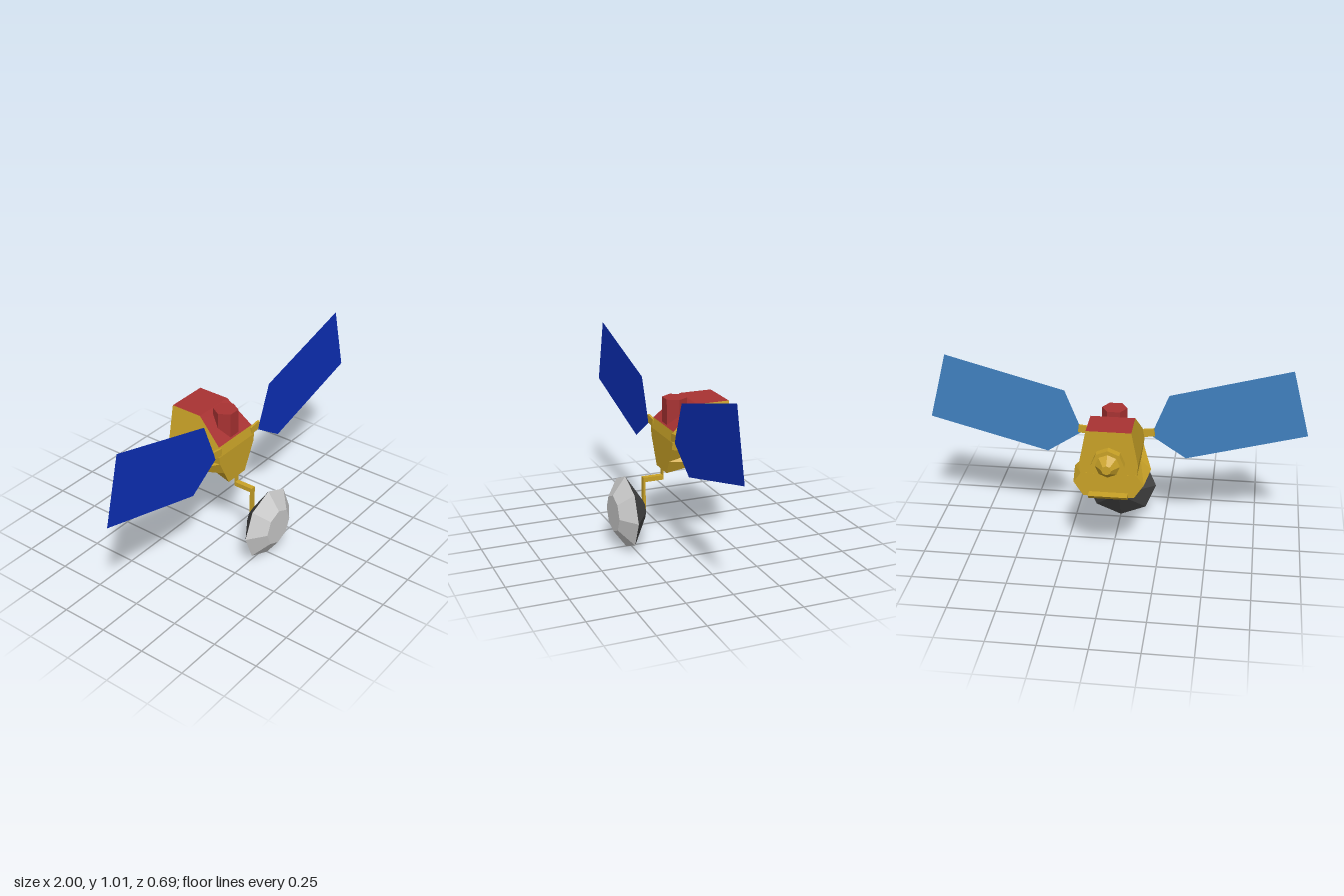
import * as THREE from 'three';

const mat = (color) => new THREE.MeshStandardMaterial({ color, flatShading: true });

export function createModel() {
  const group = new THREE.Group();
  const gold = mat(0xc9a227), red = mat(0xa83232), grey = mat(0xcccccc);
  const dark = mat(0x444444), blue = mat(0x0c2fb8), paleBlue = mat(0x4080bf);

  const add = (name, geometry, material, x = 0, y = 0, z = 0) => {
    const mesh = new THREE.Mesh(geometry, material);
    mesh.name = name;
    mesh.position.set(x, y, z);
    group.add(mesh);
    return mesh;
  };
  const box = (name, w, h, d, x, y, z) => add(name, new THREE.BoxGeometry(w, h, d), gold, x, y, z);
  // Frustum along z: front radius, back radius, front z, back z
  const frustum = (name, rf, rb, zf, zb, y, material) =>
    add(name, new THREE.CylinderGeometry(rf, rb, zf - zb, 8).rotateX(Math.PI / 2), material, 0, y, (zf + zb) / 2);

  const fromQuads = (quads) => {
    const p = [];
    for (const [a, b, c, d] of quads) p.push(...a, ...b, ...c, ...a, ...c, ...d);
    const g = new THREE.BufferGeometry();
    g.setAttribute('position', new THREE.Float32BufferAttribute(p, 3));
    g.computeVertexNormals();
    return g;
  };
  // Mirror a half section (bottom to top) into a full ring
  const ring = (z, half) => {
    const r = half.map(([x, y, pz = z]) => [x, y, pz]);
    return [...r, ...r.slice().reverse().map(([x, y, pz]) => [-x, y, pz])];
  };
  // Join rings front to back; the roof strip is returned separately
  const loft = (rings) => {
    const shell = [], roof = [], n = rings[0].length;
    for (let s = 0; s < rings.length - 1; s++) {
      const a = rings[s], b = rings[s + 1];
      for (let i = 0; i < n; i++) {
        const j = (i + 1) % n;
        (i === n / 2 - 1 ? roof : shell).push([a[i], b[i], b[j], a[j]]);
      }
    }
    const f = rings[0], e = rings[rings.length - 1];
    for (let i = 0; i < n / 2 - 1; i++) {
      const j = n - 1 - i;
      shell.push([f[i], f[i + 1], f[j - 1], f[j]], [e[j], e[j - 1], e[i + 1], e[i]]);
    }
    return { shell, roof };
  };

  // Faceted body with red sloped roof
  const body = loft([
    ring(0.072, [[0.07, 0.41], [0.108, 0.485], [0.145, 0.56], [0.15, 0.6], [0.14, 0.655, 0.062]]),
    ring(-0.08, [[0.08, 0.47], [0.2, 0.49], [0.145, 0.535], [0.15, 0.6], [0.115, 0.78]]),
    ring(-0.259, [[0.08, 0.47], [0.17, 0.49], [0.145, 0.535], [0.15, 0.6], [0.115, 0.78]]),
  ]);
  add('body', fromQuads(body.shell), gold);
  add('roof', fromQuads(body.roof), red);

  // Lower hull with side bulges
  const hull = loft([
    ring(-0.08, [[0.14, 0.415], [0.2, 0.49], [0.145, 0.545]]),
    ring(-0.26, [[0.13, 0.415], [0.18, 0.49], [0.14, 0.545]]),
  ]);
  add('lowerHull', fromQuads([...hull.shell, ...hull.roof]), gold);

  // Rear lip below the engine
  const lip = loft([
    ring(-0.25, [[0.1, 0.415], [0.1, 0.44]]),
    ring(-0.285, [[0.1, 0.415], [0.1, 0.44, -0.31]]),
  ]);
  add('rearLip', fromQuads([...lip.shell, ...lip.roof]), gold);

  // Rear hub and nozzle
  frustum('rearHub', 0.085, 0.085, -0.25, -0.3, 0.61, gold);
  frustum('nozzle', 0.065, 0.025, -0.298, -0.347, 0.61, gold);

  // Hexagonal sensor standing on the slope
  add('sensor', new THREE.CylinderGeometry(0.066, 0.066, 0.142, 6).rotateY(Math.PI / 6), red, 0, 0.726, -0.002);

  // Solar panels and brackets
  const outline = [[0.185, 0.61], [0.37, 0.488], [0.998, 0.657], [0.905, 1.015], [0.275, 0.845], [0.2, 0.655]];
  const panelFace = (s) => new THREE.ShapeGeometry(
    new THREE.Shape(outline.map(([x, y]) => new THREE.Vector2(s * x, y))));
  for (const [side, s] of [['left', 1], ['right', -1]]) {
    add(side + 'PanelFront', panelFace(s), blue, 0, 0, 0.0735);
    add(side + 'PanelBack', panelFace(-s).rotateY(Math.PI), paleBlue, 0, 0, 0.0715);
    const bracket = box(side + 'Bracket', 0.075, 0.042, 0.012, s * 0.165, 0.63, 0.065);
    bracket.rotation.z = s * 0.12;
  }

  // Cranked arm holding the dish
  box('armTop', 0.028, 0.07, 0.006, 0, 0.39, 0.069);
  box('armMiddle', 0.028, 0.025, 0.112, 0, 0.367, 0.124);
  box('armLower', 0.028, 0.18, 0.012, 0, 0.29, 0.174);

  // Octagonal dish
  frustum('dishFront', 0.1, 0.197, 0.347, 0.277, 0.2, grey);
  frustum('dishBack', 0.197, 0.05, 0.277, 0.18, 0.2, dark);

  return group;
}
